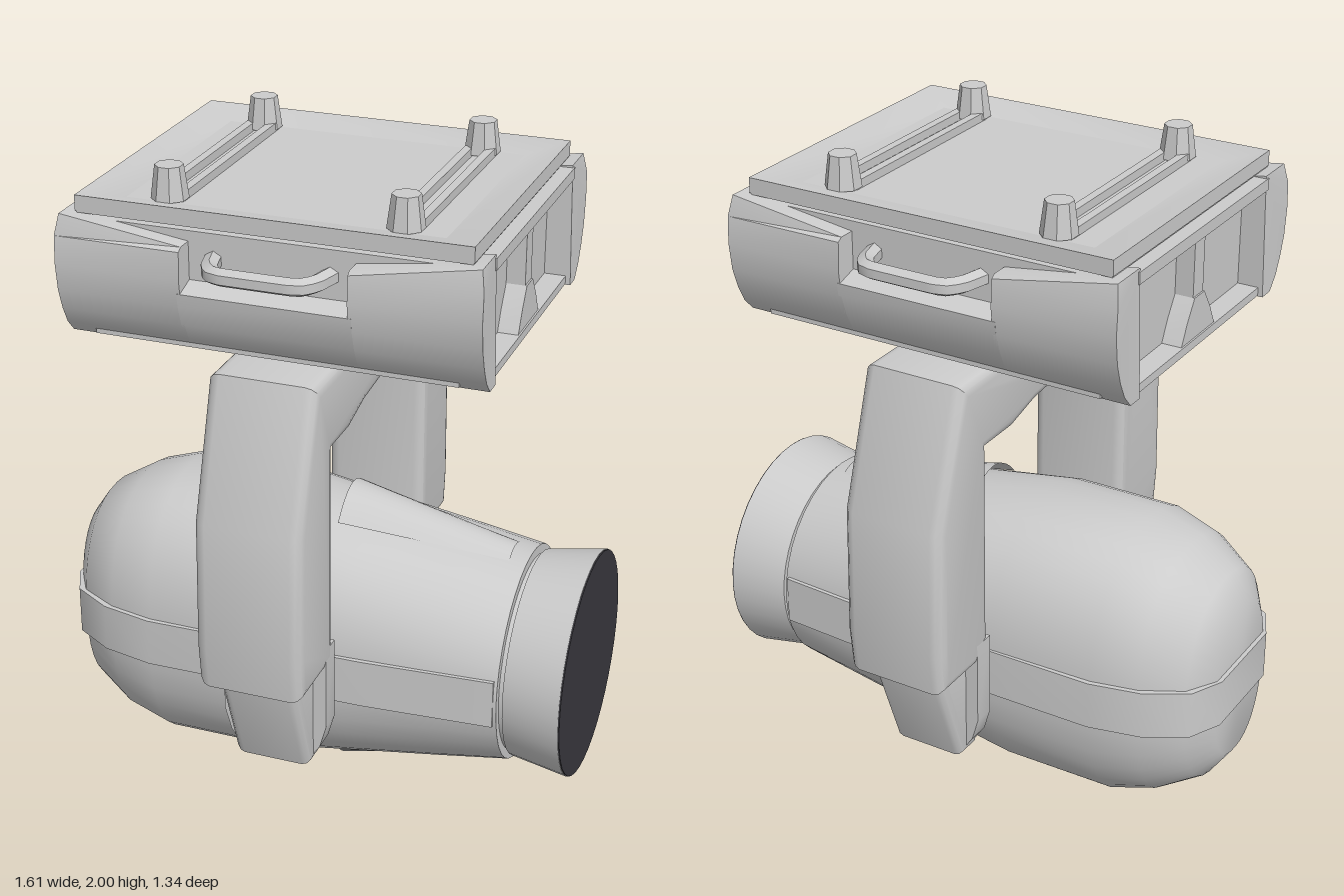
import * as THREE from 'three';
import { toCreasedNormals } from 'three/addons/utils/BufferGeometryUtils.js';
import { ParametricGeometry } from 'three/addons/geometries/ParametricGeometry.js';

const grey = new THREE.MeshStandardMaterial({ color: 0xcccccc, side: THREE.DoubleSide });
const dark = new THREE.MeshStandardMaterial({ color: 0x3a393f });
const lerp = THREE.MathUtils.lerp;
const AXIS_Y = 0.475; // height of the lamp axis

function add(parent, name, geometry, x = 0, y = 0, z = 0, material = grey) {
  const mesh = new THREE.Mesh(toCreasedNormals(geometry, 0.65), material);
  mesh.name = name;
  mesh.position.set(x, y, z);
  parent.add(mesh);
  return mesh;
}

const box = (w, h, d) => new THREE.BoxGeometry(w, h, d);
const shapeOf = (pts) => new THREE.Shape(pts.map(([a, b]) => new THREE.Vector2(a, b)));

// Extrudes a [z, y] outline along x, centred on x = 0
function extrudeX(pts, width, bevel = 0) {
  const g = new THREE.ExtrudeGeometry(shapeOf(pts.map(([z, y]) => [-z, y])), {
    depth: width - 2 * bevel, bevelEnabled: bevel > 0, bevelSize: bevel,
    bevelThickness: bevel, bevelOffset: -bevel, bevelSegments: 3,
  });
  g.translate(0, 0, bevel - width / 2);
  return g.rotateY(Math.PI / 2);
}

// Skin over superelliptic sections [x, half height, half depth, exponent]
function loftX(sections, sides) {
  const pos = [], index = [];
  const power = (v, n) => Math.sign(v) * Math.abs(v) ** (2 / n);
  sections.forEach(([x, ry, rz, n], i) => {
    for (let j = 0; j < sides; j++) {
      const a = (j / sides) * Math.PI * 2;
      pos.push(x, ry * power(Math.sin(a), n), rz * power(Math.cos(a), n));
      if (i === sections.length - 1) continue;
      const p = i * sides + j, q = i * sides + ((j + 1) % sides);
      index.push(p, p + sides, q, q, p + sides, q + sides);
    }
  });
  const g = new THREE.BufferGeometry();
  g.setAttribute('position', new THREE.Float32BufferAttribute(pos, 3));
  g.setIndex(index);
  return g;
}

function makeHead() {
  const head = new THREE.Group();
  head.name = 'lampHead';
  head.position.y = AXIS_Y;

  add(head, 'headShell', loftX([
    [-0.795, 0.001, 0.001, 2.3], [-0.795, 0.25, 0.16, 2.3], [-0.74, 0.33, 0.25, 2.3],
    [-0.62, 0.4, 0.315, 2.4], [-0.48, 0.445, 0.345, 2.4], [-0.15, 0.443, 0.35, 2.4],
    [0.14, 0.395, 0.345, 2.3], [0.4, 0.362, 0.335, 2.1], [0.61, 0.33, 0.325, 2],
    [0.61, 0.001, 0.001, 2],
  ], 36));

  // Belt around the sides and rear
  const half = [[0.6, 0.328], [0.2, 0.353], [-0.48, 0.357], [-0.64, 0.322], [-0.76, 0.25], [-0.808, 0.15]];
  const outline = [...half, ...half.map(([x, z]) => [x, -z]).reverse()];
  const belt = new THREE.ExtrudeGeometry(shapeOf(outline), { depth: 0.15, bevelEnabled: false });
  add(head, 'sideBelt', belt.rotateX(Math.PI / 2), 0, 0.075);

  // Flared lens ring and lens
  const alongX = (r1, r2, len) => new THREE.CylinderGeometry(r1, r2, len, 40).rotateZ(-Math.PI / 2);
  add(head, 'neckRing', alongX(0.3, 0.3, 0.06), 0.62);
  add(head, 'lensRing', alongX(0.345, 0.315, 0.175), 0.7125);
  add(head, 'lens', alongX(0.343, 0.343, 0.006), 0.801, 0, 0, dark);

  // Air scoops above and below, open to the rear
  for (const turn of [0, Math.PI]) {
    const hood = new ParametricGeometry((u, v, p) => {
      const t = v * 2 - 1;
      p.set(lerp(0.05, 0.56, u), lerp(0.472, 0.352, u) - lerp(0.075, 0.02, u) * t * t, t * lerp(0.13, 0.06, u));
    }, 8, 10);
    add(head, 'airScoop', hood).rotation.x = turn;
  }
  return head;
}

function makeYoke() {
  const yoke = new THREE.Group();
  yoke.name = 'yoke';
  yoke.position.x = -0.02;

  const side = [[0.4, 1.25], [0.4, 0.57], [0.655, 0.57], [0.67, 0.7], [0.66, 1.09], [0.53, 1.49]];
  const arch = [-0.27, -0.14, 0, 0.14, 0.27].map((z) => [z, 1.293 - 0.59 * z * z]);
  const mirrored = side.map(([z, y]) => [-z, y]).reverse();
  add(yoke, 'yokeFrame', extrudeX([...arch, ...side, ...mirrored], 0.32, 0.035));

  for (const turn of [0, Math.PI]) {
    const end = new THREE.Group();
    end.name = 'armEnd';
    end.rotation.y = turn;
    yoke.add(end);
    add(end, 'armCore', extrudeX([[0.4, 0.65], [0.4, 0.25], [0.49, 0.25], [0.62, 0.6], [0.62, 0.65]], 0.24, 0.03));
    const cheek = shapeOf([[-0.16, 0.64], [-0.16, 0.38], [-0.14, 0.31], [-0.1, 0.25],
      [0.1, 0.25], [0.14, 0.31], [0.16, 0.38], [0.16, 0.64]]);
    add(end, 'armCheek', new THREE.ExtrudeGeometry(cheek, { depth: 0.07, bevelEnabled: false }), 0, 0, 0.4);
    add(end, 'tiltHub', new THREE.CylinderGeometry(0.085, 0.085, 0.1, 20).rotateX(Math.PI / 2), 0, AXIS_Y, 0.37);
  }
  add(yoke, 'panBearing', new THREE.CylinderGeometry(0.11, 0.11, 0.05, 28), 0, 1.5);
  return yoke;
}

function makeBase() {
  const base = new THREE.Group();
  base.name = 'base';
  base.position.x = -0.02;
  add(base, 'baseBody', box(1.06, 0.34, 0.9), 0, 1.69);

  const low = [[0.38, 1.512], [0.43, 1.512], [0.465, 1.55], [0.49, 1.6], [0.51, 1.66]];
  const full = [...low, [0.52, 1.74], [0.515, 1.82], [0.5, 1.88], [0.38, 1.88]];
  const cut = [...low, [0.516, 1.7], [0.38, 1.74]];

  for (const turn of [0, Math.PI]) {
    const half = new THREE.Group();
    half.name = 'baseHalf';
    half.rotation.y = turn;
    base.add(half);

    // Curved long side with a notch for the handle
    add(half, 'sideCoverMiddle', extrudeX(cut, 0.5));
    for (const s of [-1, 1]) {
      const cover = extrudeX(full, 0.37);
      cover.translate(s * 0.425, 0, 0);
      const p = cover.attributes.position;
      for (let i = 0; i < p.count; i++) {
        if (Math.abs(p.getX(i)) < 0.3 && p.getY(i) > 1.85) p.setY(i, 1.83); // top edge dips to the notch
        else if (Math.abs(p.getX(i)) > 0.5 && p.getY(i) > 1.85) p.setX(i, s * 0.6);
      }
      add(half, 'sideCover', cover);
    }
    const grip = new THREE.CatmullRomCurve3([[-0.17, 0.44], [-0.15, 0.52], [-0.115, 0.558],
      [0.115, 0.558], [0.15, 0.52], [0.17, 0.44]].map(([x, z]) => new THREE.Vector3(x, 1.785, z)), false, 'catmullrom', 0.1);
    add(half, 'handle', new THREE.TubeGeometry(grip, 20, 0.026, 6));

    // Recessed short end with lips, centre post and connector
    add(half, 'endLip', box(0.09, 0.035, 0.78), 0.56, 1.855);
    add(half, 'endSill', box(0.08, 0.025, 0.78), 0.555, 1.527);
    add(half, 'endPost', box(0.06, 0.2, 0.06), 0.555, 1.75);
    add(half, 'connector', extrudeX([[-0.1, 1.54], [0.1, 1.54], [0.07, 1.6], [0.03, 1.66], [-0.03, 1.66], [-0.07, 1.6]], 0.08), 0.55);
  }

  // Top frame sloping in to a sunken panel
  const frame = [[0.88, 0], [0.88, 1], [0.925, 1], [0.9, 0.79], [0.88, 0.79]];
  const at = ([y, k], sx, sz) => [sx * (k === 1 ? 0.568 : 0.46), 1 + y, sz * (k === 1 ? 0.465 : 0.365)];
  const ring = [[1, 1], [1, -1], [-1, -1], [-1, 1]];
  const pos = [], index = [];
  for (let r = 1; r < 4; r++) ring.forEach(([sx, sz], c) => {
    pos.push(...at(frame[r], sx, sz));
    if (r === 3) return;
    const a = (r - 1) * 4 + c, b = (r - 1) * 4 + ((c + 1) % 4);
    index.push(a, b, a + 4, b, b + 4, a + 4);
  });
  const frameGeometry = new THREE.BufferGeometry();
  frameGeometry.setAttribute('position', new THREE.Float32BufferAttribute(pos, 3));
  frameGeometry.setIndex(index);
  add(base, 'topFrame', frameGeometry);
  add(base, 'topPanel', box(1.13, 0.025, 0.925), 0, 1.8875);

  // Mounting rails and feet
  for (const sx of [-1, 1]) {
    for (const e of [-1, 1]) {
      add(base, 'mountRail', box(0.025, 0.03, 0.68), sx * 0.34 + e * 0.032, 1.91);
      add(base, 'foot', new THREE.CylinderGeometry(0.04, 0.053, 0.095, 8).rotateY(Math.PI / 8), sx * 0.34, 1.9525, e * 0.34);
    }
  }
  return base;
}

export function createModel() {
  const model = new THREE.Group();
  model.name = 'movingHeadLight';
  model.add(makeHead(), makeYoke(), makeBase());
  return model;
}
